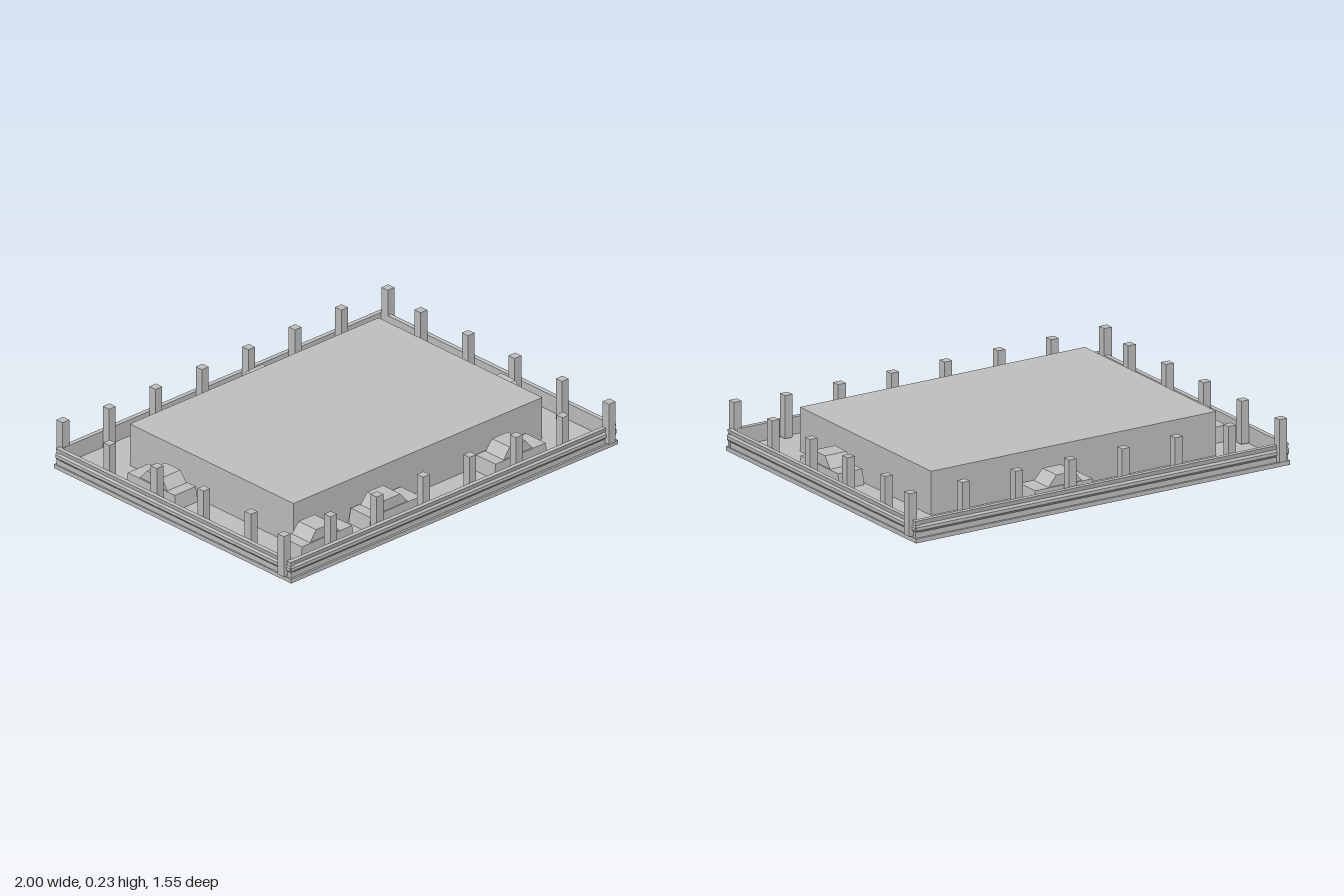
import * as THREE from 'three';

const FLOOR = 0.02;

export function createModel() {
  const root = new THREE.Group();
  const grey = new THREE.MeshStandardMaterial({ color: 0xc0c0c0 });
  grey.name = 'concrete grey';

  const add = (parent, name, geometry, x = 0, y = 0, z = 0) => {
    const mesh = new THREE.Mesh(geometry, grey);
    mesh.name = name;
    mesh.position.set(x, y, z);
    parent.add(mesh);
    return mesh;
  };

  // Box standing on y = 0
  const block = (w, h, d) => new THREE.BoxGeometry(w, h, d).translate(0, h / 2, 0);

  // Box whose top is shorter by the given insets along x and z
  const tapered = (w, h, d, front, back, side) => {
    const g = block(w, h, d);
    const p = g.attributes.position;
    for (let i = 0; i < p.count; i++) {
      if (p.getY(i) < h / 2) continue;
      p.setX(i, p.getX(i) > 0 ? w / 2 - front : -w / 2 + back);
      p.setZ(i, Math.sign(p.getZ(i)) * (d / 2 - side));
    }
    const flat = g.toNonIndexed();
    flat.computeVertexNormals();
    return flat;
  };

  // Floor slab and central building block
  add(root, 'floorSlab', block(1.97, FLOOR, 1.526));
  add(root, 'centralBlock', block(1.5, 0.225 - FLOOR, 1.054), 0, FLOOR, 0);

  // Perimeter barrier with a ridged outer face
  const profile = new THREE.Shape([
    [0, 0.015], [0.018, 0.015], [0.018, 0.045], [0.025, 0.055],
    [0.025, 0.07], [0.018, 0.08], [0.022, 0.1], [0, 0.1],
  ].map(([x, y]) => new THREE.Vector2(x, y)));
  const barrier = (angle, distance, length) => {
    const g = new THREE.ExtrudeGeometry(profile, { depth: length, bevelEnabled: false });
    g.translate(distance, 0, -length / 2);
    add(root, 'barrier', g).rotation.y = angle;
  };
  for (const turn of [0, Math.PI]) {
    barrier(turn, 0.96, 1.51);
    barrier(turn - Math.PI / 2, 0.735, 1.96);
  }

  // Posts inside the barrier, plus corner posts set outside it
  const post = block(0.04, 0.2, 0.04);
  for (const s of [-1, 1]) {
    for (const x of [-0.7, -0.42, -0.14, 0.14, 0.42, 0.7]) add(root, 'post', post, x, 0.025, s * 0.712);
    for (const z of [-0.455, -0.15, 0.15, 0.455]) add(root, 'post', post, s * 0.938, 0.025, z);
    add(root, 'cornerPost', post, s * 0.98, 0.025, -s * 0.712);
    add(root, 'cornerPost', post, s * 0.938, 0.025, s * 0.757);
  }

  // Parked cars: low body and sloped cabin
  const bodyGeo = tapered(0.322, 0.072, 0.135, 0.01, 0.01, 0.004);
  const cabinGeo = tapered(0.175, 0.05, 0.115, 0.042, 0.038, 0.001);
  const cars = [
    [0.147, -0.61, 0], [-0.68, 0.605, 0], [-0.267, 0.605, 0], [0.487, 0.605, 0],
    [-0.837, -0.228, 1], [0.833, 0.147, 1],
  ];
  for (const [x, z, turned] of cars) {
    const car = new THREE.Group();
    car.name = 'parkedCar';
    add(car, 'carBody', bodyGeo);
    add(car, 'carCabin', cabinGeo, -0.01, 0.072, 0);
    car.position.set(x, FLOOR, z);
    car.rotation.y = turned * Math.PI / 2;
    root.add(car);
  }

  return root;
}
